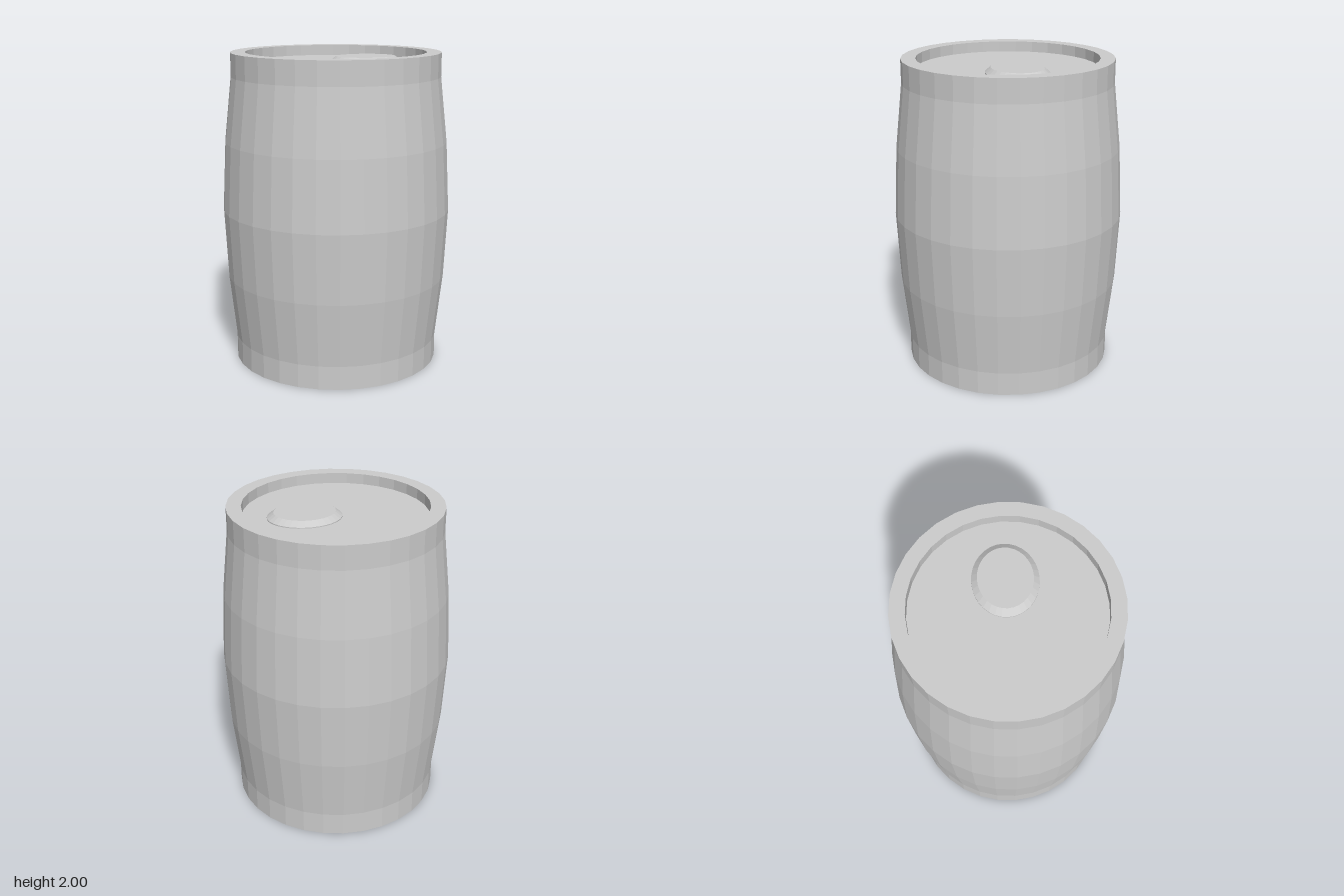
import * as THREE from 'three';

const SIDES = 32;

export function createModel() {
  const group = new THREE.Group();
  const material = new THREE.MeshStandardMaterial({ color: 0xcccccc, flatShading: true });

  // Turns [radius, height] pairs, listed from bottom to top, into a faceted solid
  const turned = (name, profile) => {
    const points = profile.map(([r, y]) => new THREE.Vector2(r, y));
    const mesh = new THREE.Mesh(new THREE.LatheGeometry(points, SIDES), material);
    mesh.name = name;
    group.add(mesh);
    return mesh;
  };

  // Bulging barrel wall with a raised rim at both ends
  turned('barrelBody', [
    [0.60, 0.08], [0.60, 0], [0.665, 0], [0.665, 0.15], [0.71, 0.56], [0.732, 1],
    [0.71, 1.44], [0.665, 1.85], [0.665, 2], [0.573, 2], [0.573, 1.933],
  ]);

  // Recessed end discs
  turned('bottomDisc', [[0, 0.08], [0.60, 0.08]]);
  turned('lid', [[0.573, 1.933], [0, 1.933]]);

  // Oval bevelled stopper, set off centre on the lid
  const stopper = turned('stopper', [[0.23, 0], [0.23, 0.006], [0.19, 0.036], [0, 0.036]]);
  stopper.scale.z = 0.85;
  stopper.position.set(0.195, 1.933, 0);

  return group;
}
